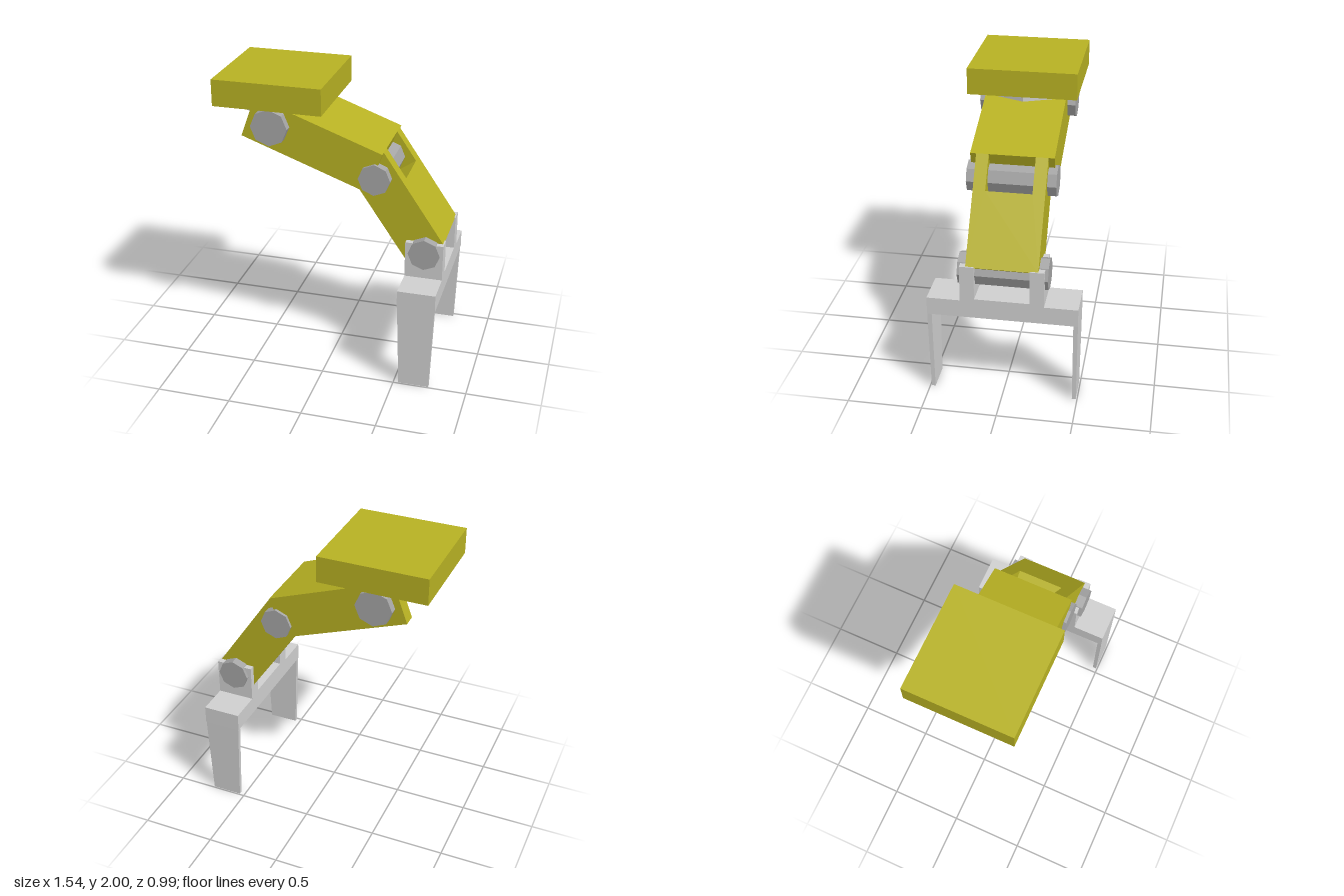
import * as THREE from 'three';

const mat = (name, color) => {
  const m = new THREE.MeshStandardMaterial({ color });
  m.name = name;
  return m;
};

export function createModel() {
  const model = new THREE.Group();
  model.name = 'roboticArm';
  const yellow = mat('yellow paint', 0xb8b223);
  const steel = mat('dark steel', 0xa6a6a6);
  const light = mat('light steel', 0xd0d0d0);

  const add = (name, geometry, material, x = 0, y = 0, z = 0, parent = model) => {
    const mesh = new THREE.Mesh(geometry, material);
    mesh.name = name;
    mesh.position.set(x, y, z);
    parent.add(mesh);
    return mesh;
  };
  // Eight-sided cylinder with vertices on its axes and flat sides
  const octagon = (r, h) => new THREE.CylinderGeometry(r, r, h, 8).toNonIndexed();
  const flat = (g) => { g.computeVertexNormals(); return g; };

  // Mounting block and turntable
  add('mountingBlock', new THREE.BoxGeometry(0.735, 0.18, 0.735), yellow, -0.402, 1.91, 0);
  add('turntable', flat(octagon(0.31, 0.06)), light, -0.402, 1.797, 0);

  // Arm segment: plan outline with a fork slot at the start, extruded through its thickness
  const arm = (name, x, y, degrees, length, thickness, half, gap, slot) => {
    const s = new THREE.Shape([
      [0, half], [0, gap], [slot, gap], [slot, -gap], [0, -gap],
      [0, -half], [length, -half], [length, half],
    ].map(([u, v]) => new THREE.Vector2(u, v)));
    const g = new THREE.ExtrudeGeometry(s, { depth: thickness, bevelEnabled: false });
    g.rotateX(Math.PI / 2);
    add(name, g, yellow, x, y, 0).rotation.z = -THREE.MathUtils.degToRad(degrees);
  };
  arm('upperArm', -0.51, 1.876, 20, 0.91, 0.294, 0.275, 0.185, 0.31);
  arm('forearm', 0.345, 1.565, 55.8, 0.738, 0.288, 0.235, 0.153, 0.24);

  // Joint pins
  [
    ['shoulderPin', -0.403, 1.69, 0.126, 0.66],
    ['elbowPin', 0.296, 1.388, 0.108, 0.59],
    ['wristPin', 0.64, 0.89, 0.108, 0.59],
  ].forEach(([name, x, y, r, length]) => {
    add(name, flat(octagon(r, length).rotateX(Math.PI / 2)), steel, x, y, 0);
  });

  // Gripper: palm, wrist lugs and tapering fingers
  const gripper = new THREE.Group();
  gripper.name = 'gripper';
  gripper.position.x = 0.638;
  model.add(gripper);
  add('palm', new THREE.BoxGeometry(0.255, 0.122, 0.99), light, 0, 0.649, 0, gripper);
  add('lugBase', new THREE.BoxGeometry(0.255, 0.03, 0.548), light, 0, 0.712, 0, gripper);
  for (const side of [1, -1]) {
    add('wristLug', new THREE.BoxGeometry(0.255, 0.25, 0.094), light, 0, 0.835, side * 0.227, gripper);
    const g = new THREE.BoxGeometry(0.249, 0.59, 0.03);
    const p = g.attributes.position;
    for (let i = 0; i < p.count; i++) {
      if (p.getY(i) < 0) {
        p.setX(i, p.getX(i) * 0.83);
        if (p.getZ(i) * side > 0) p.setZ(i, p.getZ(i) * 0.75);
      }
    }
    add('finger', flat(g), light, 0, 0.295, side * 0.48, gripper);
  }
  return model;
}
